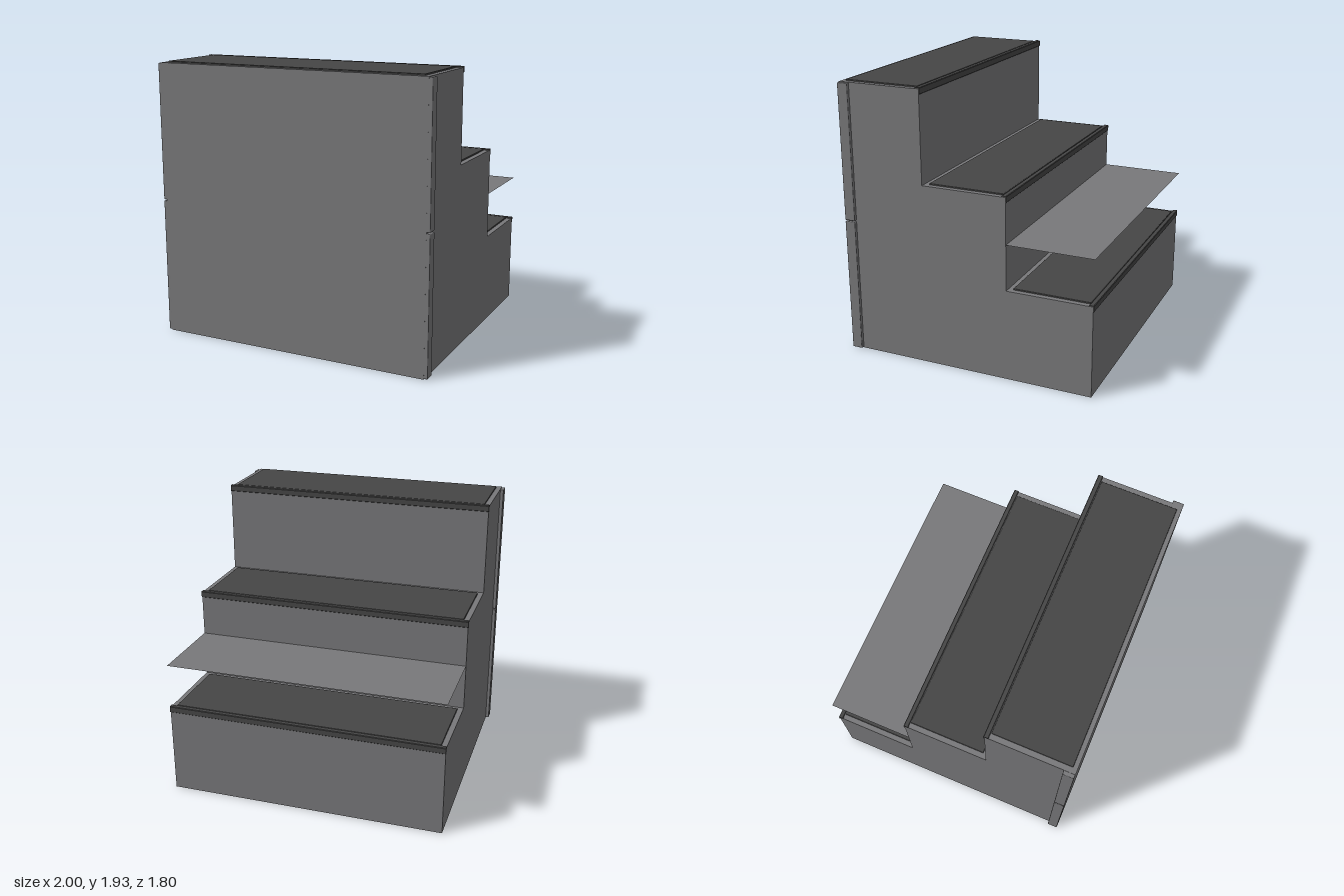
import * as THREE from 'three';
import { RoundedBoxGeometry } from 'three/addons/geometries/RoundedBoxGeometry.js';

const WIDTH = 1.95, RISE = 0.64, RUN = 0.6, FRONT = 0.9;

export function createModel() {
  const model = new THREE.Group();
  model.name = 'steppedBlock';

  const bodyGrey = new THREE.MeshStandardMaterial({ color: 0x78787a });
  bodyGrey.name = 'body grey';
  const sheetGrey = new THREE.MeshStandardMaterial({ color: 0x78787a, side: THREE.DoubleSide });
  sheetGrey.name = 'sheet grey';
  const treadGrey = new THREE.MeshStandardMaterial({ color: 0x464646 });
  treadGrey.name = 'tread dark grey';

  const add = (name, geometry, material, x = 0, y = 0, z = 0, parent = model) => {
    const mesh = new THREE.Mesh(geometry, material);
    mesh.name = name;
    mesh.position.set(x, y, z);
    parent.add(mesh);
    return mesh;
  };

  // Extrude a (z, y) outline across the width, centred on x = 0
  const across = (points, width) => {
    const shape = new THREE.Shape(points.map(([z, y]) => new THREE.Vector2(z, y)));
    const geometry = new THREE.ExtrudeGeometry(shape, { depth: width, bevelEnabled: false });
    return geometry.translate(0, 0, -width / 2).rotateY(-Math.PI / 2);
  };

  // Stepped body: tall at the front, descending towards the back
  const edges = [0.305, -0.295, -0.895];
  const outline = [[FRONT, 0], [FRONT, 3 * RISE]];
  edges.forEach((z, i) => {
    outline.push([z, (3 - i) * RISE], [z, (2 - i) * RISE]);
  });
  add('steppedBody', across(outline.reverse(), WIDTH), bodyGrey);

  // Each step has an inset mat and an L-shaped nosing along its edge
  const matGeometry = new RoundedBoxGeometry(1.876, 0.016, 0.535, 2, 0.005);
  const nosingGeometry = across([
    [0.027, -0.002], [0.027, 0.006], [0.024, 0.009], [-0.002, 0.009], [-0.006, 0.005],
    [-0.006, -0.032], [-0.003, -0.035], [0.002, -0.032], [0.002, -0.002],
  ].reverse(), WIDTH + 0.004);
  edges.forEach((z, i) => {
    const step = new THREE.Group();
    step.name = `step${3 - i}`;
    step.position.set(0, (3 - i) * RISE, z);
    add('mat', matGeometry, treadGrey, 0, 0.002, RUN / 2 - 0.002, step);
    add('nosing', nosingGeometry, treadGrey, 0, 0, 0, step);
    model.add(step);
  });

  // Thin sheet at mid height, projecting over the lowest step
  const sheet = new THREE.PlaneGeometry(WIDTH, RUN + 0.01).rotateX(-Math.PI / 2);
  add('midSheet', sheet, sheetGrey, 0, 1.5 * RISE, -0.595);

  // Corner rails on both sides, split at mid height
  const railGeometry = new RoundedBoxGeometry(0.03, 0.952, 0.075, 2, 0.006);
  for (const side of [1, -1]) {
    for (const y of [0.48, 1.44]) {
      const name = `${side > 0 ? 'left' : 'right'}${y < 1 ? 'Lower' : 'Upper'}Rail`;
      add(name, railGeometry, bodyGrey, side * 0.985, y, 0.8625);
    }
  }

  return model;
}
